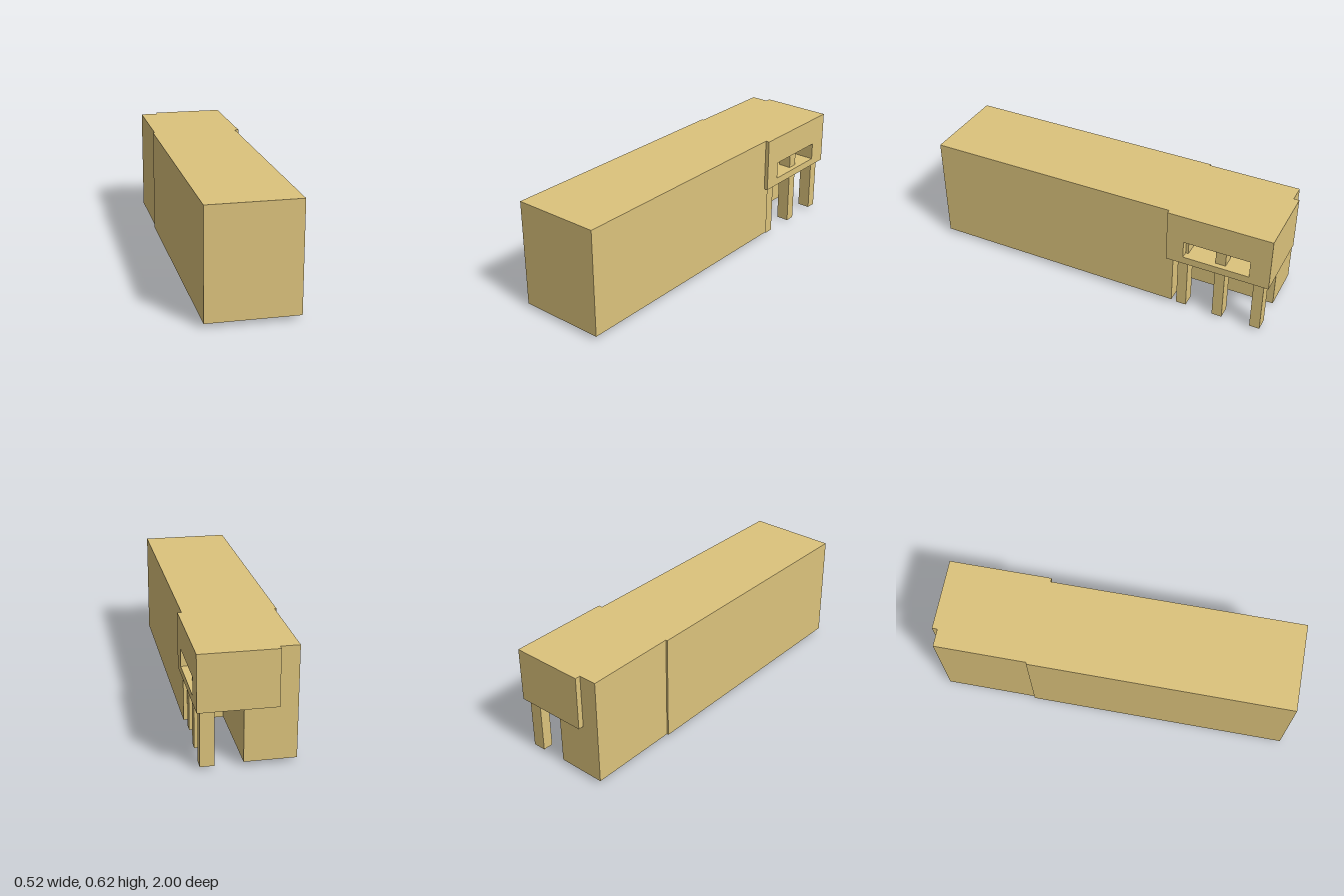
import * as THREE from 'three';

export function createModel() {
  const group = new THREE.Group();
  const material = new THREE.MeshStandardMaterial({ color: 0xdcc37c, flatShading: true });

  const add = (name, geometry) => {
    const mesh = new THREE.Mesh(geometry, material);
    mesh.name = name;
    group.add(mesh);
    return mesh;
  };
  // Box given by its limits on each axis
  const block = (name, [x0, x1], [y0, y1], [z0, z1]) =>
    add(name, new THREE.BoxGeometry(x1 - x0, y1 - y0, z1 - z0))
      .position.set((x0 + x1) / 2, (y0 + y1) / 2, (z0 + z1) / 2);

  const top = 0.62, base = 0.022, soffit = 0.318;

  // Long main hall and the narrower wing behind it
  block('mainHall', [-0.26, 0.235], [base, top], [-0.456, 1]);
  block('rearWing', [-0.25, 0.02], [base, top], [-0.97, -0.456]);

  // Raised upper storey: solid ends, with a niche running between them
  block('upperStoreyFrontEnd', [-0.15, 0.257], [soffit, top], [-0.52, -0.423]);
  block('upperStoreyBackEnd', [-0.15, 0.257], [soffit, top], [-1, -0.89]);

  // Niche section with a flat floor and a ceiling sloping down to the inner wall
  const section = new THREE.Shape([
    [-0.15, soffit], [0.257, soffit], [0.257, 0.36], [0.02, 0.36],
    [0.02, 0.385], [0.257, 0.458], [0.257, top], [-0.15, top],
  ].map(([x, y]) => new THREE.Vector2(x, y)));
  add('upperStoreyNiche', new THREE.ExtrudeGeometry(section, { depth: 0.37, bevelEnabled: false }))
    .position.z = -0.89;

  // Posts carrying the upper storey, rising through the niche into its ceiling
  const posts = [
    { x: 0.145, y: 0, z: -0.535 },
    { x: 0.155, y: 0.005, z: -0.75 },
    { x: 0.165, y: 0.015, z: -0.97 },
  ];
  for (const { x, y, z } of posts) {
    block('post', [x, x + 0.073], [y, 0.47], [z, z + 0.057]);
  }

  return group;
}
